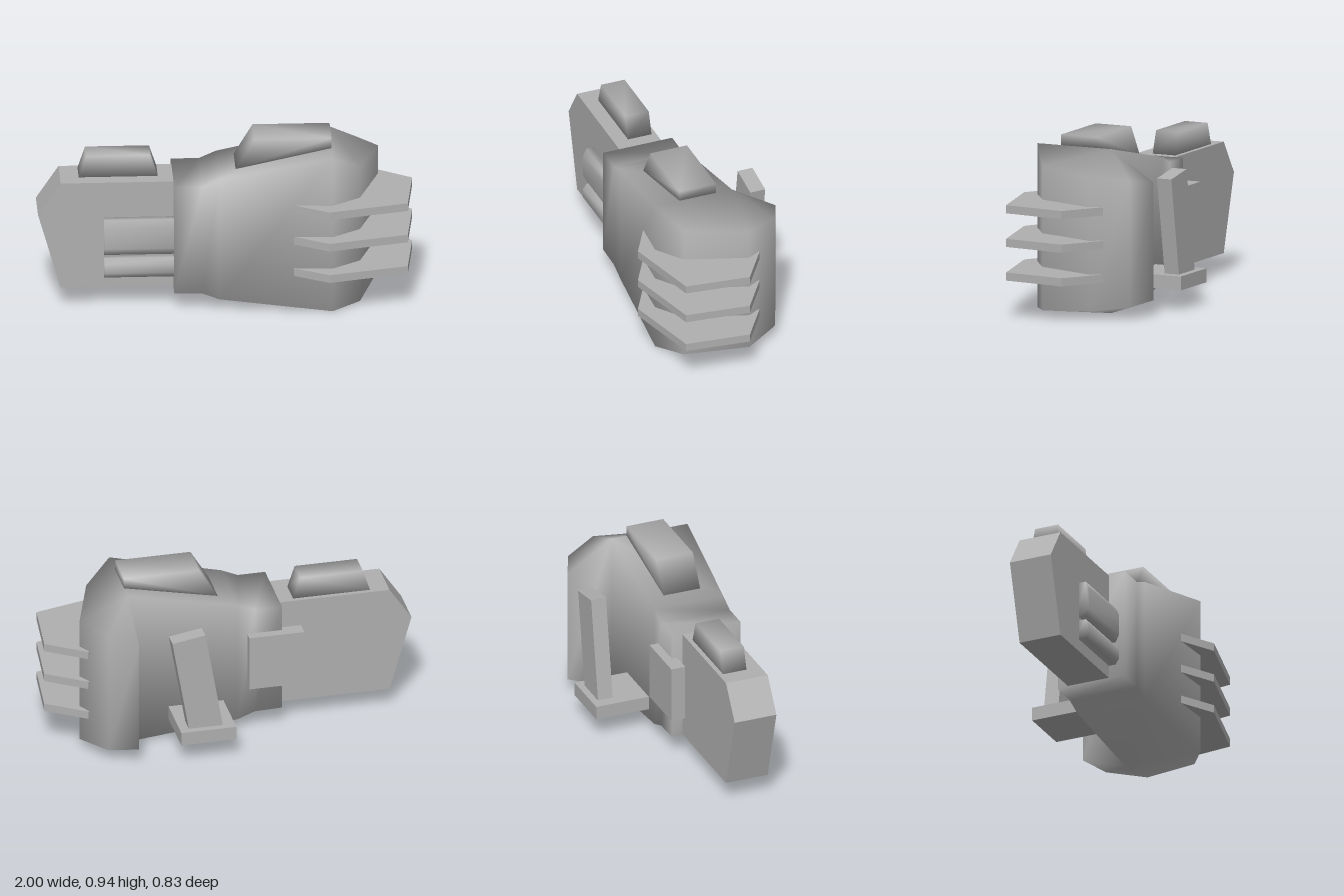
import * as THREE from 'three';
import { mergeVertices } from 'three/addons/utils/BufferGeometryUtils.js';

const grey = new THREE.MeshStandardMaterial({ color: 0xb0b0b0 });
grey.name = 'grey';

// Extrudes a 2D outline by the given depth.
function prism(points, depth) {
  const shape = new THREE.Shape(points.map(([a, b]) => new THREE.Vector2(a, b)));
  return new THREE.ExtrudeGeometry(shape, { depth, bevelEnabled: false });
}

// Shares corners so that shading runs smoothly round the part.
function smooth(geometry) {
  geometry.deleteAttribute('normal');
  geometry.deleteAttribute('uv');
  const merged = mergeVertices(geometry);
  merged.computeVertexNormals();
  return merged;
}

// Body: plan outline with a lower and an upper height at each corner.
function bodyGeometry() {
  const ring = [ // x, z, low y, high y
    [-0.28, 0.28, 0.105, 0.715], [-0.13, 0.28, 0.1, 0.715], [-0.04, 0.28, 0.065, 0.755],
    [0.56, 0.325, 0.003, 0.885], [0.71, 0.22, 0.015, 0.79], [0.823, -0.11, 0.05, 0.77],
    [0.71, -0.3, 0.07, 0.745], [0.56, -0.365, 0.09, 0.725], [0.56, -0.115, 0.003, 0.885],
    [-0.04, -0.115, 0.065, 0.755], [-0.13, -0.115, 0.1, 0.715], [-0.28, -0.115, 0.105, 0.715],
  ];
  const positions = ring.flatMap(([x, z, low, high]) => [x, low, z, x, high, z]);
  const index = [];
  // side walls
  ring.forEach((_, i) => {
    const j = (i + 1) % ring.length;
    index.push(2 * i, 2 * j, 2 * j + 1, 2 * i, 2 * j + 1, 2 * i + 1);
  });
  // top and bottom: strips along the wrist, then a fan over the curled end
  const caps = [];
  for (let i = 0; i < 3; i++) caps.push([i, i + 1, 10 - i], [i, 10 - i, 11 - i]);
  for (let i = 3; i < 7; i++) caps.push([8, i, i + 1]);
  for (const [a, b, c] of caps) {
    index.push(2 * a + 1, 2 * b + 1, 2 * c + 1, 2 * a, 2 * c, 2 * b);
  }
  const geometry = new THREE.BufferGeometry();
  geometry.setAttribute('position', new THREE.Float32BufferAttribute(positions, 3));
  geometry.setIndex(index);
  geometry.computeVertexNormals();
  return geometry;
}

export function createModel() {
  const model = new THREE.Group();
  model.name = 'gauntlet';

  function add(name, geometry) {
    const mesh = new THREE.Mesh(geometry, grey);
    mesh.name = name;
    model.add(mesh);
    return mesh;
  }
  function addBox(name, x0, x1, y0, y1, z0, z1) {
    const mesh = add(name, new THREE.BoxGeometry(x1 - x0, y1 - y0, z1 - z0));
    mesh.position.set((x0 + x1) / 2, (y0 + y1) / 2, (z0 + z1) / 2);
  }

  add('body', bodyGeometry());

  // Forearm block with a pointed end
  add('forearmBlock', prism(
    [[-0.88, 0.11], [-0.2, 0.11], [-0.2, 0.71], [-0.88, 0.71], [-1, 0.53]], 0.24,
  )).position.z = -0.055;

  // Raised humps on top
  add('forearmHump', smooth(prism(
    [[-0.78, 0.71], [-0.36, 0.71], [-0.4, 0.83], [-0.74, 0.83]], 0.135,
  ))).position.z = -0.03;
  add('bodyHump', smooth(prism(
    [[0.05, 0.775], [0.56, 0.882], [0.56, 0.942], [0.15, 0.942]], 0.21,
  ))).position.z = -0.025;

  // Barrels lying along the front of the forearm
  for (const [name, low, high, bevel] of [['upperBarrel', 0.31, 0.51, 0.04], ['lowerBarrel', 0.18, 0.29, 0.03]]) {
    const profile = [
      [-0.16, low], [-0.16, high], [-0.225, high], [-0.245, high - bevel],
      [-0.245, low + bevel], [-0.225, low],
    ];
    const geometry = smooth(prism(profile, 0.42));
    geometry.rotateY(Math.PI / 2);
    add(name, geometry).position.x = -0.65;
  }

  // Three knuckle blades
  const blade = prism(
    [[0.32, -0.29], [0.54, -0.415], [0.96, -0.31], [1, 0.04], [0.79, 0.18]], 0.044,
  );
  blade.rotateX(-Math.PI / 2);
  [0.205, 0.386, 0.567].forEach((y, i) => {
    add('knuckleBlade' + (i + 1), blade).position.y = y;
  });

  // Back plate, grip foot and leaning grip post
  addBox('backPlate', -0.39, -0.09, 0.265, 0.575, -0.165, -0.085);
  addBox('gripFoot', 0.04, 0.34, 0.115, 0.19, -0.417, -0.1);
  add('gripPost', prism(
    [[0.1, 0.16], [0.28, 0.13], [0.38, 0.715], [0.2, 0.745]], 0.085,
  )).position.z = -0.38;

  return model;
}
